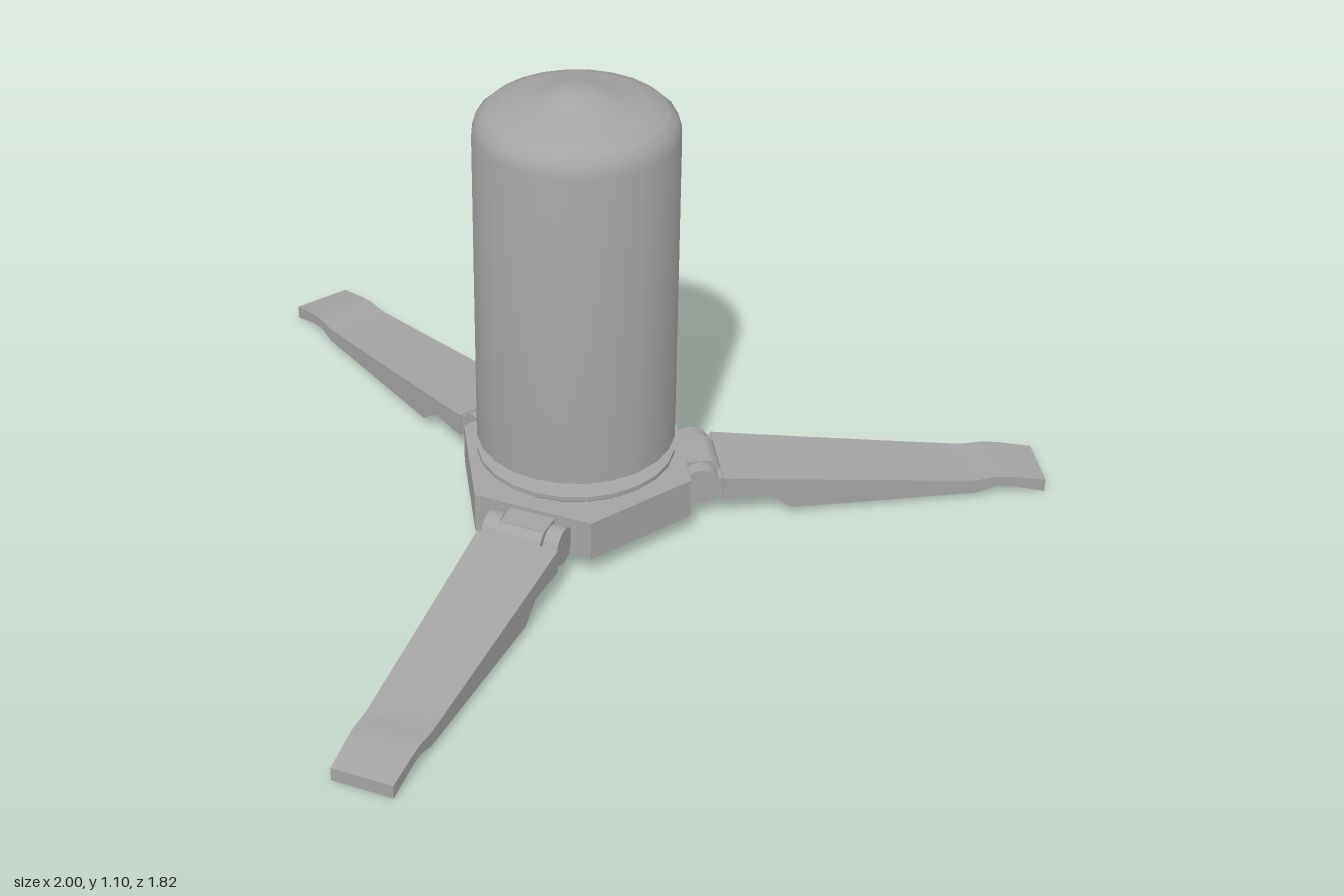
import * as THREE from 'three';
import { toCreasedNormals } from 'three/addons/utils/BufferGeometryUtils.js';

const grey = new THREE.MeshStandardMaterial({ color: 0xa4a4a4 });
grey.name = 'grey';

function part(name, geometry, x = 0, y = 0, z = 0) {
  const mesh = new THREE.Mesh(geometry, grey);
  mesh.name = name;
  mesh.position.set(x, y, z);
  return mesh;
}

function lathe(profile, segments) {
  const points = profile.map(([r, y]) => new THREE.Vector2(r, y));
  return toCreasedNormals(new THREE.LatheGeometry(points, segments), 0.6);
}

// Blade with a recess underneath: stations of [distance, top, bottom, recess depth]
function bladeGeometry() {
  const stations = [
    [0.335, 0.118, 0.06, 0], [0.45, 0.104, 0.06, 0], [0.5, 0.099, 0.02, 0],
    [0.54, 0.094, 0.019, 0], [0.55, 0.093, 0.019, 1], [0.75, 0.071, 0.017, 1],
    [0.94, 0.051, 0.015, 1], [0.95, 0.051, 0.015, 0], [1.0, 0.055, 0.03, 0],
    [1.04, 0.05, 0.024, 0], [1.118, 0.035, 0.002, 0],
  ];
  const positions = [];
  const index = [];
  for (const [z, top, bottom, recess] of stations) {
    const w = 0.1 - (z - 0.335) * 0.035;
    const inner = w - 0.03;
    const ceiling = recess ? top - 0.015 : bottom;
    const section = [
      [-w, bottom], [-inner, bottom], [-inner, ceiling], [inner, ceiling],
      [inner, bottom], [w, bottom], [w, top], [-w, top],
    ];
    for (const [x, y] of section) positions.push(x, y, z);
  }
  for (let i = 0; i < stations.length - 1; i++) {
    for (let k = 0; k < 8; k++) {
      const a = i * 8 + k;
      const b = i * 8 + ((k + 1) % 8);
      index.push(a, b, b + 8, a, b + 8, a + 8);
    }
  }
  const e = (stations.length - 1) * 8;
  index.push(0, 6, 5, 0, 7, 6, e, e + 5, e + 6, e, e + 6, e + 7);
  const geometry = new THREE.BufferGeometry();
  geometry.setAttribute('position', new THREE.Float32BufferAttribute(positions, 3));
  geometry.setIndex(index);
  return toCreasedNormals(geometry, 0.35);
}

function hingePin(radius, width) {
  const geometry = new THREE.CylinderGeometry(radius, radius, width, 16);
  geometry.rotateZ(Math.PI / 2);
  return geometry;
}

function createLeg(blade) {
  const leg = new THREE.Group();
  leg.name = 'leg';
  leg.add(part('blade', blade));
  // Tongue fixed to the hub, with the pin through it
  leg.add(part('hingeTongue', new THREE.BoxGeometry(0.11, 0.08, 0.08), 0, 0.1, 0.27));
  leg.add(part('hingeBarrel', hingePin(0.04, 0.11), 0, 0.1, 0.3));
  // Lugs on both sides of the tongue
  for (const side of [-1, 1]) {
    leg.add(part('hingeLug', hingePin(0.045, 0.036), side * 0.076, 0.095, 0.285));
    leg.add(part('lugArm', new THREE.BoxGeometry(0.036, 0.05, 0.055), side * 0.076, 0.09, 0.315));
  }
  return leg;
}

export function createModel() {
  const model = new THREE.Group();
  model.name = 'tripodCanister';
  const assembly = new THREE.Group();
  assembly.name = 'assembly';
  assembly.position.set(-0.044, 0, -0.213);
  assembly.rotation.y = THREE.MathUtils.degToRad(-5.1);
  model.add(assembly);

  // Canister with a rounded shoulder and a low knob
  assembly.add(part('canister', lathe([
    [0, 0.22], [0.232, 0.22], [0.232, 1.0], [0.224, 1.028], [0.202, 1.048],
    [0.16, 1.064], [0.105, 1.074], [0.075, 1.086], [0.04, 1.1], [0, 1.1],
  ], 24)));

  // Neck and flange under the canister
  assembly.add(part('neck', lathe([
    [0.17, 0.145], [0.17, 0.163], [0.225, 0.166], [0.232, 0.172], [0.232, 0.183],
    [0.165, 0.193], [0.165, 0.221],
  ], 24)));

  // Six-sided hub
  const hub = part('hub', toCreasedNormals(new THREE.CylinderGeometry(0.29, 0.29, 0.1, 6), 0.3), 0, 0.1, 0);
  hub.rotation.y = Math.PI / 6;
  assembly.add(hub);

  // Three folding legs
  const blade = bladeGeometry();
  for (let i = 0; i < 3; i++) {
    const leg = createLeg(blade);
    leg.rotation.y = (i * Math.PI * 2) / 3;
    assembly.add(leg);
  }
  return model;
}
